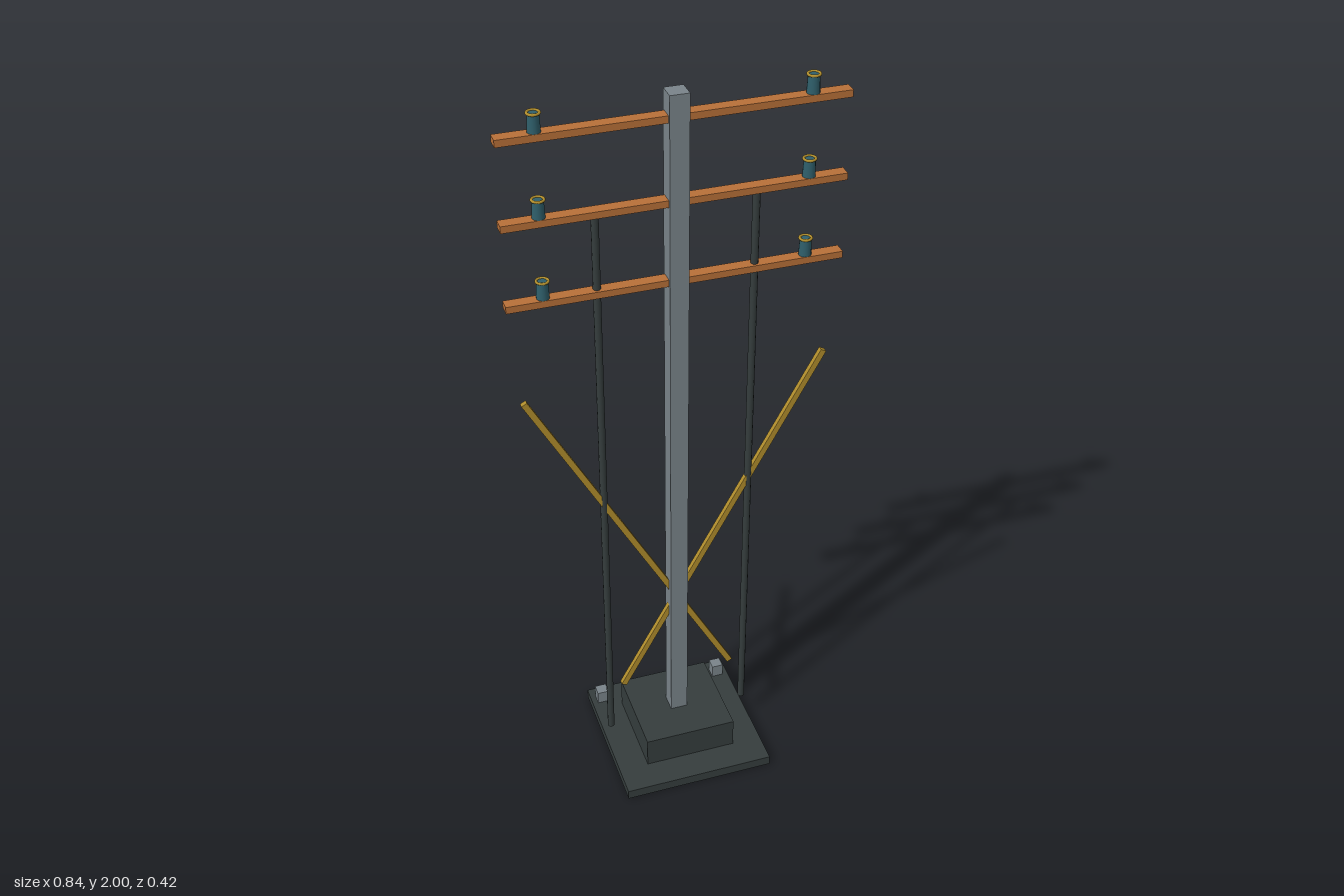
import * as THREE from 'three';

export function createModel() {
  const model = new THREE.Group();
  const mat = (name, color) => {
    const m = new THREE.MeshStandardMaterial({ color });
    m.name = name;
    return m;
  };
  const steel = mat('grey steel', 0x7a848a);
  const iron = mat('dark iron', 0x353d3d);
  const copper = mat('copper', 0xb87038);
  const brass = mat('brass', 0xb08d2c);
  const teal = mat('teal ceramic', 0x2f5f6b);

  const add = (name, geometry, material, x, y, z = 0) => {
    const mesh = new THREE.Mesh(geometry, material);
    mesh.name = name;
    mesh.position.set(x, y, z);
    model.add(mesh);
    return mesh;
  };
  const box = (w, h, d) => new THREE.BoxGeometry(w, h, d);

  // Stepped base and central mast
  add('basePlate', box(0.42, 0.028, 0.42), iron, 0, 0.014);
  add('plinth', box(0.256, 0.09, 0.256), iron, 0, 0.071);
  add('mast', box(0.048, 1.89, 0.048), steel, 0, 1.055);

  // Crossarms with a pair of insulators each
  for (const y of [1.52, 1.73, 1.94]) {
    add('crossarm', box(0.84, 0.018, 0.032), copper, 0, y);
    for (const side of [-1, 1]) {
      const x = side * 0.327;
      add('insulator', new THREE.CylinderGeometry(0.014, 0.016, 0.046, 16), teal, x, y + 0.031);
      add('insulatorRing', new THREE.TorusGeometry(0.0145, 0.0035, 8, 20), brass, x, y + 0.054)
        .rotation.x = Math.PI / 2;
    }
  }

  for (const side of [-1, 1]) {
    // Slim hanging posts
    add('sidePost', new THREE.CylinderGeometry(0.0095, 0.0095, 1.635, 10), iron, side * 0.197, 0.9025);
    // Crossed diagonal braces
    const top = new THREE.Vector2(side * 0.39, 1.243);
    const foot = new THREE.Vector2(side * -0.157, 0.237);
    const brace = add('diagonalBrace', box(0.016, top.distanceTo(foot), 0.014), brass,
      (top.x + foot.x) / 2, (top.y + foot.y) / 2);
    brace.rotation.z = -Math.atan2(top.x - foot.x, top.y - foot.y);
    // Anchor blocks at the back corners
    add('anchorBlock', box(0.032, 0.038, 0.032), steel, side * 0.178, 0.047, -0.165);
  }
  return model;
}
